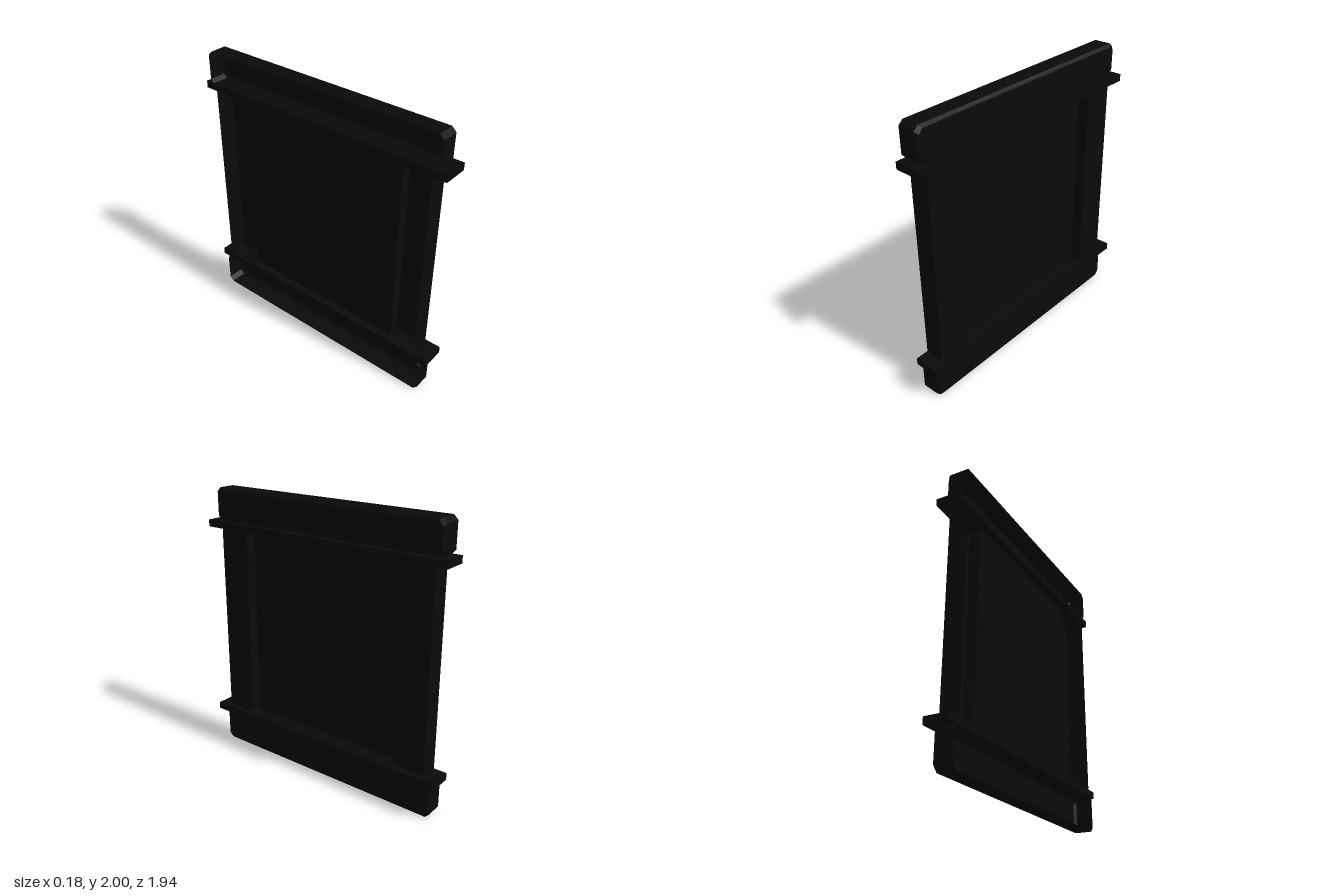
import * as THREE from 'three';

const black = new THREE.MeshStandardMaterial({ color: 0x0a0a0a, side: THREE.DoubleSide });
black.name = 'matte black';

// Joins rows of points into a flat-shaded sheet; optionally closes each row and fills the last one.
function loft(rows, closed = false, fillLast = false) {
  const n = rows[0].length;
  const index = [];
  for (let r = 0; r < rows.length - 1; r++) {
    for (let i = 0; i < (closed ? n : n - 1); i++) {
      const a = r * n + i, b = r * n + (i + 1) % n;
      index.push(a, b, b + n, a, b + n, a + n);
    }
  }
  if (fillLast) {
    const s = (rows.length - 1) * n;
    for (let i = 1; i < n - 1; i++) index.push(s, s + i, s + i + 1);
  }
  const g = new THREE.BufferGeometry();
  g.setAttribute('position', new THREE.Float32BufferAttribute(rows.flat(2), 3));
  g.setIndex(index);
  const flat = g.toNonIndexed();
  flat.computeVertexNormals();
  return flat;
}

// Rectangle with cut corners, lying in the plane at the given x.
function cutRect(x, halfZ, y0, y1, c) {
  return [
    [x, y0, halfZ - c], [x, y0, -halfZ + c], [x, y0 + c, -halfZ], [x, y1 - c, -halfZ],
    [x, y1, -halfZ + c], [x, y1, halfZ - c], [x, y1 - c, halfZ], [x, y0 + c, halfZ],
  ];
}

export function createModel() {
  const group = new THREE.Group();
  group.name = 'wallPanel';
  const add = (name, geometry) => {
    const mesh = new THREE.Mesh(geometry, black);
    mesh.name = name;
    group.add(mesh);
    return mesh;
  };

  // Bevelled boards at top and bottom, hollow at the back
  for (const [name, y0, y1] of [['topBoard', 1.765, 2], ['bottomBoard', 0, 0.265]]) {
    const b = 0.018;
    add(name, loft([
      cutRect(-0.09, 0.925, y0, y1, 0.03),
      cutRect(0.05 - b, 0.925, y0, y1, 0.03),
      cutRect(0.05, 0.925 - b, y0 + b, y1 - b, 0.03),
    ], true, true));
  }

  // Projecting ledges
  for (const [name, y] of [['topLedge', 1.745], ['bottomLedge', 0.282]]) {
    add(name, new THREE.BoxGeometry(0.18, 0.05, 1.94)).position.y = y;
  }

  // Side posts, open at the back, with bevelled ends
  for (const [name, s] of [['frontPost', 1], ['backPost', -1]]) {
    const row = (y, x) => [[-0.09, y, 0.875 * s], [x, y, 0.875 * s], [x, y, 0.64 * s], [-0.03, y, 0.64 * s]];
    add(name, loft([row(0.3, 0.032), row(0.325, 0.05), row(1.705, 0.05), row(1.725, 0.032)]));
  }

  // Recessed centre panel
  const panel = add('centrePanel', new THREE.PlaneGeometry(1.28, 1.44));
  panel.rotation.y = Math.PI / 2;
  panel.position.set(-0.03, 1.013, 0);

  return group;
}
